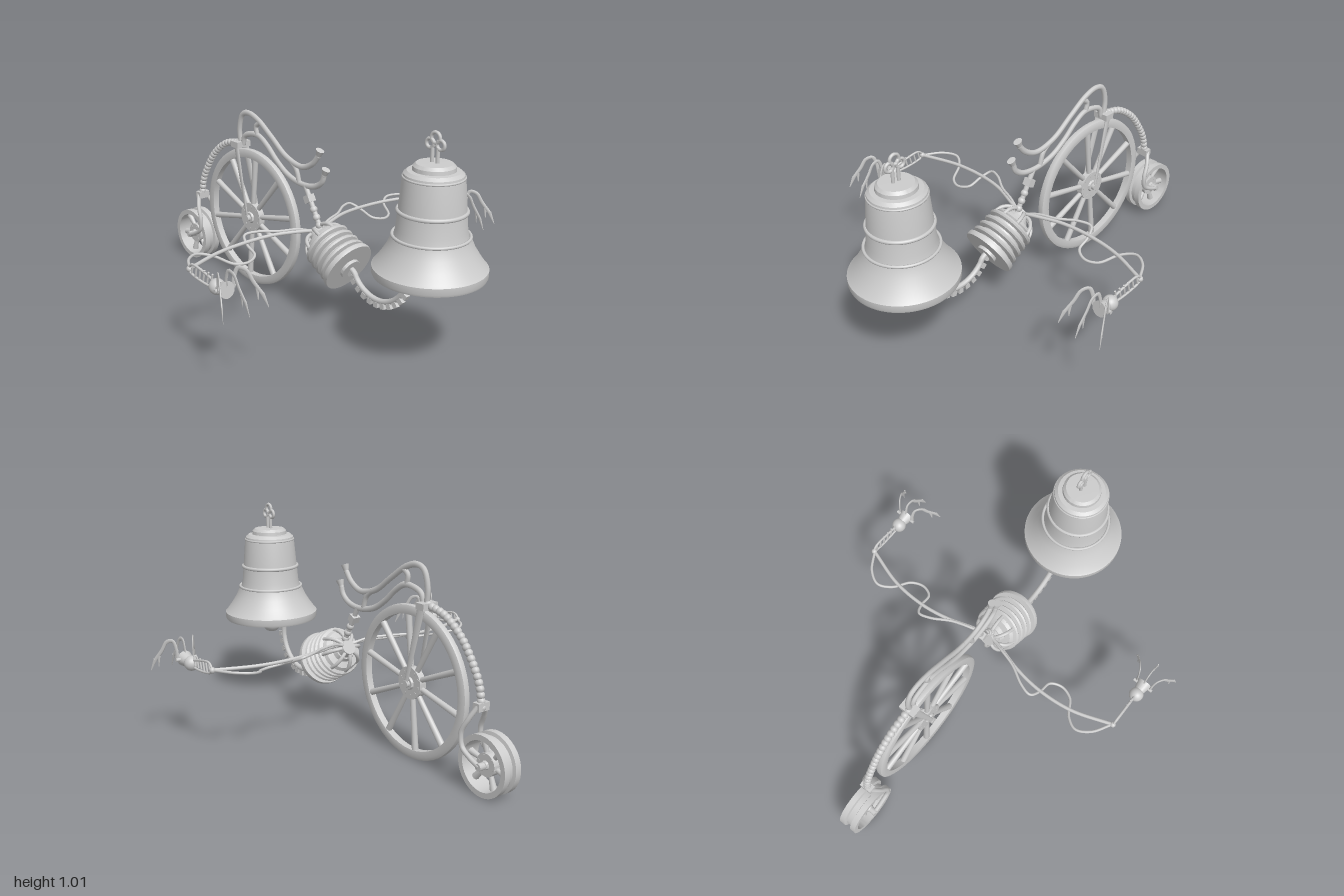
import * as THREE from 'three';
import { toCreasedNormals } from 'three/addons/utils/BufferGeometryUtils.js';

const mat = new THREE.MeshStandardMaterial({ color: 0xcccccc, side: THREE.DoubleSide });
const V = (x, y, z = 0) => new THREE.Vector3(x, y, z);

function add(parent, name, geo, x = 0, y = 0, z = 0) {
  const m = new THREE.Mesh(geo, mat);
  m.name = name;
  m.position.set(x, y, z);
  parent.add(m);
  return m;
}
function group(parent, name, x = 0, y = 0, z = 0) {
  const g = new THREE.Group();
  g.name = name;
  g.position.set(x, y, z);
  parent.add(g);
  return g;
}
const curve = (pts) => new THREE.CatmullRomCurve3(pts.map((p) => V(...p)));
const tube = (parent, name, pts, r, seg = 40) =>
  add(parent, name, new THREE.TubeGeometry(curve(pts), seg, r, 8));
const lathe = (parent, name, pts, seg = 48) =>
  add(parent, name, toCreasedNormals(new THREE.LatheGeometry(pts.map((p) => new THREE.Vector2(...p)), seg), 0.6));
// Round bar from a to b, tapering from r0 to r1
function bar(parent, name, a, b, r0, r1 = r0, sides = 10) {
  const d = b.clone().sub(a);
  const m = add(parent, name, new THREE.CylinderGeometry(r1, r0, d.length(), sides));
  m.position.copy(a).addScaledVector(d, 0.5);
  m.quaternion.setFromUnitVectors(V(0, 1, 0), d.normalize());
  return m;
}

function wheel(parent, name, x, y, rim, spokes, rIn, rHub, wSpoke, hubDepth) {
  const g = group(parent, name, x, y);
  lathe(g, 'rim', rim, 64).rotation.x = Math.PI / 2;
  for (let i = 0; i < spokes; i++) {
    const a = (i / spokes) * Math.PI * 2 + 0.22;
    const c = Math.cos(a), s = Math.sin(a);
    bar(g, 'spoke', V(c * rHub * 0.5, s * rHub * 0.5), V(c * rIn, s * rIn), wSpoke[0], wSpoke[1]);
    const t = add(g, 'hubBolt', new THREE.CylinderGeometry(rHub * 0.13, rHub * 0.13, hubDepth * 2.1, 8),
      Math.cos(a) * rHub * 0.78, Math.sin(a) * rHub * 0.78);
    t.rotation.x = Math.PI / 2;
  }
  lathe(g, 'hub', [[0, -hubDepth * 1.6], [rHub * 0.35, -hubDepth * 1.6], [rHub * 0.4, -hubDepth], [rHub, -hubDepth],
    [rHub, hubDepth], [rHub * 0.4, hubDepth], [rHub * 0.35, hubDepth * 1.6], [0, hubDepth * 1.6]]).rotation.x = Math.PI / 2;
  return g;
}

function buildCycle(root) {
  const g = group(root, 'cycle');
  wheel(g, 'bigWheel', -0.39, 0.35, [[0.305, -0.016], [0.33, -0.02], [0.345, -0.013], [0.348, 0],
    [0.345, 0.013], [0.33, 0.02], [0.305, 0.016], [0.305, -0.016]], 10, 0.31, 0.073, [0.012, 0.015], 0.016);
  wheel(g, 'smallWheel', -0.87, 0.135, [[0.108, -0.045], [0.132, -0.045], [0.132, -0.017], [0.117, -0.013],
    [0.117, 0.013], [0.132, 0.017], [0.132, 0.045], [0.108, 0.045], [0.108, -0.045]], 6, 0.111, 0.05, [0.008, 0.016], 0.02);

  // Forks on both sides of each wheel
  for (const s of [-1, 1]) {
    bar(g, 'bigFork', V(-0.475, 0.71, s * 0.028), V(-0.39, 0.35, s * 0.036), 0.02, 0.009).scale.z = 0.4;
    tube(g, 'smallFork', [[-0.82, 0.37, s * 0.02], [-0.79, 0.31, s * 0.045], [-0.762, 0.25, s * 0.055],
      [-0.77, 0.19, s * 0.055], [-0.82, 0.155, s * 0.055], [-0.87, 0.135, s * 0.055]], 0.011);
  }
  bar(g, 'bigAxle', V(-0.39, 0.35, -0.042), V(-0.39, 0.35, 0.042), 0.016);
  bar(g, 'smallAxle', V(-0.87, 0.135, -0.063), V(-0.87, 0.135, 0.063), 0.016);
  add(g, 'smallForkCrown', new THREE.BoxGeometry(0.035, 0.035, 0.06), -0.815, 0.365);
  add(g, 'bigForkCrown', new THREE.BoxGeometry(0.05, 0.03, 0.08), -0.475, 0.71);

  // Beaded backbone
  const spine = [[-0.485, 0.715], [-0.59, 0.69], [-0.69, 0.62], [-0.755, 0.535], [-0.8, 0.45], [-0.818, 0.36]];
  tube(g, 'backbone', spine, 0.011);
  for (const p of curve(spine).getSpacedPoints(21)) add(g, 'bead', new THREE.SphereGeometry(0.018, 12, 8), p.x, p.y);

  // Twin sweeping frame tubes, their links and cupped ends
  const f = group(g, 'frame');
  f.scale.z = 0.8;
  tube(f, 'upperTube', [[-0.475, 0.71], [-0.48, 0.79], [-0.455, 0.86], [-0.41, 0.875], [-0.34, 0.855], [-0.24, 0.79],
    [-0.13, 0.715], [-0.02, 0.69], [0.05, 0.72], [0.09, 0.765]], 0.014, 64);
  tube(f, 'lowerTube', [[-0.455, 0.71], [-0.44, 0.755], [-0.39, 0.775], [-0.33, 0.775], [-0.27, 0.74], [-0.2, 0.68],
    [-0.12, 0.63], [-0.02, 0.607], [0.07, 0.618], [0.115, 0.65], [0.13, 0.69]], 0.014, 64);
  tube(f, 'rearLink', [[-0.32, 0.845], [-0.352, 0.82], [-0.345, 0.78]], 0.013, 12);
  tube(f, 'frontLink', [[-0.11, 0.71], [-0.062, 0.67], [-0.04, 0.608]], 0.013, 12);
  for (const [x, y, dx, dy] of [[0.088, 0.763, 0.012, 0.03], [0.128, 0.683, 0.012, 0.03]]) {
    bar(f, 'tipCup', V(x, y), V(x + dx, y + dy), 0.012, 0.022, 16);
    add(f, 'tipBall', new THREE.SphereGeometry(0.014, 12, 8), x, y);
  }

  // Jointed neck down to the drum
  bar(g, 'neck', V(0, 0.61), V(0.12, 0.4), 0.012);
  const block = add(g, 'neckBlock', new THREE.BoxGeometry(0.035, 0.035, 0.04), 0.03, 0.55);
  block.rotation.z = 0.5;
  for (const t of [0.5, 0.66, 0.82]) add(g, 'neckBead', new THREE.SphereGeometry(0.018, 12, 8), 0.12 * t, 0.61 - 0.21 * t);
}

function buildDrum(root) {
  // Local y runs along the tilted axis, towards the bell
  const g = group(root, 'drum', 0.105, 0.385);
  g.quaternion.setFromUnitVectors(V(0, 1, 0), V(0.895, -0.446).normalize());
  const prof = [[0, -0.005], [0.05, -0.005], [0.06, 0.015], [0.09, 0.02], [0.1, 0.035]];
  for (let i = 0; i < 4; i++) {
    const y = 0.042 + i * 0.036, r = 0.112 + i * 0.002;
    prof.push([0.093, y], [r, y + 0.005], [r + 0.005, y + 0.013], [r, y + 0.021], [0.093, y + 0.027]);
  }
  prof.push([0.093, 0.188], [0.127, 0.19], [0.129, 0.2], [0.127, 0.213], [0.05, 0.213], [0.05, 0.228], [0, 0.228]);
  lathe(g, 'ribbedBody', prof);
  for (let i = 0; i < 8; i++) {
    const a = (i / 8) * Math.PI * 2, c = Math.cos(a), s = Math.sin(a);
    tube(g, 'shoulderRib', [[c * 0.02, -0.03, s * 0.02], [c * 0.06, -0.02, s * 0.06],
      [c * 0.09, 0.01, s * 0.09], [c * 0.1, 0.045, s * 0.1]], 0.009, 12);
  }
  add(g, 'collar', new THREE.CylinderGeometry(0.045, 0.035, 0.04, 20), 0, -0.02);

  // Toothed curl from the drum to the bell
  const t = group(root, 'toothedCurl', 0.473, 0.36);
  const R = 0.167, a0 = 3.65, a1 = 6.6, pts = [];
  for (let i = 0; i <= 14; i++) {
    const a = a0 + ((a1 - a0) * i) / 14;
    pts.push([Math.cos(a) * R, Math.sin(a) * R, 0]);
    const k = add(t, 'tooth', new THREE.BoxGeometry(0.026, 0.024, 0.022), Math.cos(a) * (R + 0.02), Math.sin(a) * (R + 0.02));
    k.rotation.z = a;
  }
  tube(t, 'curl', [[-0.19, -0.06, 0], ...pts], 0.013, 64);
}

function buildArm(root, s) {
  const g = group(root, s > 0 ? 'frontArm' : 'backArm');
  g.scale.z = s;
  tube(g, 'armTube', [[0.09, 0.41, 0], [0.07, 0.42, 0.08], [0.03, 0.425, 0.21], [0.012, 0.422, 0.35],
    [0.025, 0.42, 0.52], [0.088, 0.42, 0.712]], 0.0085);
  tube(g, 'wavyCable', [[0.09, 0.4, 0], [0.06, 0.43, 0.09], [0.03, 0.435, 0.18], [-0.022, 0.44, 0.27], [-0.035, 0.435, 0.33],
    [0.015, 0.41, 0.355], [0.08, 0.385, 0.365], [0.105, 0.373, 0.42], [0.082, 0.375, 0.48], [0, 0.4, 0.53],
    [-0.035, 0.415, 0.59], [0, 0.42, 0.655], [0.086, 0.42, 0.71]], 0.0065, 90);
  add(g, 'wrist', new THREE.SphereGeometry(0.014, 12, 8), 0.088, 0.42, 0.713);

  // Flat ladder-shaped forearm
  const h = group(g, 'hand', 0, 0, 0.715);
  for (const d of [-1, 1])
    tube(h, 'forearmRail', [[0.085, 0.42 + d * 0.004, 0], [0.11, 0.425 + d * 0.022, 0], [0.19, 0.415 + d * 0.024, 0],
      [0.27, 0.405 + d * 0.014, 0]], 0.0055, 20);
  for (let i = 0; i < 6; i++) {
    const x = 0.11 + i * 0.027;
    bar(h, 'forearmRung', V(x - 0.005, 0.4), V(x + 0.005, 0.448), 0.0045);
  }
  // Palm and three drooping claws
  add(h, 'palmBall', new THREE.SphereGeometry(0.034, 20, 14), 0.278, 0.405);
  bar(h, 'palm', V(0.285, 0.405), V(0.345, 0.412), 0.02, 0.036, 16);
  bar(h, 'knuckleBar', V(0.33, 0.415, -0.05), V(0.33, 0.415, 0.05), 0.008);
  for (const k of [-1, 0, 1]) {
    const f = group(h, 'finger', 0.335, 0, k * 0.038);
    f.rotation.y = -k * 0.52;
    f.scale.z = 0.4;
    tube(f, 'claw', [[0, 0.41, 0], [0.005, 0.46, 0], [0.022, 0.497, 0], [0.055, 0.49, 0], [0.085, 0.445, 0], [0.125, 0.395, 0]], 0.009, 30);
    bar(f, 'clawTip', V(0.122, 0.4), V(0.148, 0.345), 0.01, 0.002);
    bar(f, 'clawSpur', V(0.1, 0.42), V(0.104, 0.37), 0.008, 0.002);
  }
}

function buildBell(root) {
  const g = group(root, 'bell', 0.76, 0);
  lathe(g, 'bellShell', [[0.215, 0.415], [0.234, 0.41], [0.238, 0.42], [0.238, 0.447], [0.23, 0.455], [0.205, 0.49], [0.18, 0.53],
    [0.165, 0.565], [0.162, 0.575], [0.152, 0.58], [0.145, 0.61], [0.139, 0.68], [0.137, 0.7], [0.127, 0.81], [0.122, 0.838],
    [0.108, 0.85], [0.088, 0.852], [0.086, 0.868], [0.074, 0.88], [0, 0.882],
    [0, 0.82], [0.1, 0.815], [0.112, 0.7], [0.122, 0.6], [0.15, 0.53], [0.19, 0.46], [0.215, 0.415]], 64);
  for (const [r, y, t] of [[0.139, 0.685, 0.009], [0.158, 0.58, 0.007], [0.123, 0.825, 0.005]])
    add(g, 'bellBand', new THREE.TorusGeometry(r, t, 8, 64), 0, y).rotation.x = Math.PI / 2;
  // Trefoil hanger
  for (const d of [-1, 1]) {
    bar(g, 'hangerPost', V(d * 0.014, 0.875), V(d * 0.014, 0.945), 0.008);
    add(g, 'sideLoop', new THREE.TorusGeometry(0.019, 0.0075, 8, 24), d * 0.027, 0.955);
  }
  add(g, 'topLoop', new THREE.TorusGeometry(0.022, 0.0075, 8, 24), 0, 0.981);
  // Clapper
  bar(g, 'clapperRod', V(0, 0.82), V(0, 0.4), 0.012, 0.016);
  add(g, 'clapperBall', new THREE.SphereGeometry(0.051, 28, 20), 0, 0.38);
}

export function createModel() {
  const root = new THREE.Group();
  root.name = 'bellCycle';
  buildCycle(root);
  buildDrum(root);
  buildArm(root, 1);
  buildArm(root, -1);
  buildBell(root);
  return root;
}
